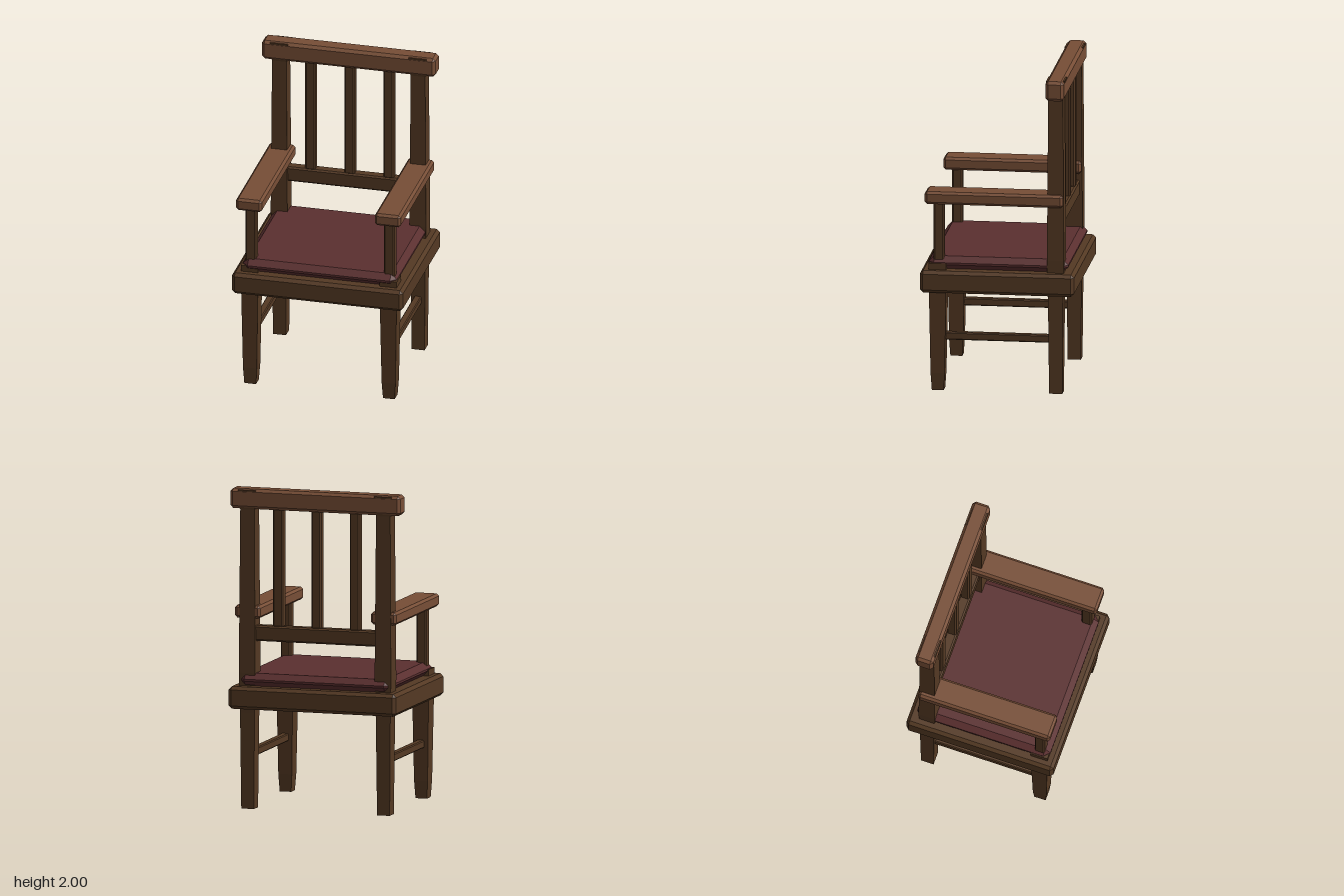
import * as THREE from 'three';
import { ConvexGeometry } from 'three/addons/geometries/ConvexGeometry.js';

export function createModel() {
  const model = new THREE.Group();
  model.name = 'armchair';

  const material = (name, color) => {
    const m = new THREE.MeshStandardMaterial({ color });
    m.name = name;
    return m;
  };
  const darkWood = material('dark wood', 0x543923);
  const lightWood = material('light wood', 0x774e36);
  const fabric = material('cushion fabric', 0x5a2f2f);

  const add = (name, geometry, mat) => {
    const mesh = new THREE.Mesh(geometry, mat);
    mesh.name = name;
    model.add(mesh);
    return mesh;
  };

  // Box with chamfered edges, given by its min and max on each axis
  const block = (name, mat, [x0, x1], [y0, y1], [z0, z1], bevel) => {
    const half = [(x1 - x0) / 2, (y1 - y0) / 2, (z1 - z0) / 2];
    const points = [];
    for (const sx of [-1, 1]) for (const sy of [-1, 1]) for (const sz of [-1, 1]) {
      for (let axis = 0; axis < 3; axis++) {
        const [hx, hy, hz] = half.map((h, i) => (i === axis ? h : h - bevel));
        points.push(new THREE.Vector3(sx * hx, sy * hy, sz * hz));
      }
    }
    add(name, new ConvexGeometry(points), mat)
      .position.set((x0 + x1) / 2, (y0 + y1) / 2, (z0 + z1) / 2);
  };

  // Square post whose half-width follows [halfWidth, height] pairs
  const post = (name, mat, x, z, sections) => {
    const profile = [[0, sections[0][1]], ...sections, [0, sections.at(-1)[1]]]
      .map(([h, y]) => new THREE.Vector2(h * Math.SQRT2, y));
    const geometry = new THREE.LatheGeometry(profile, 4).rotateY(Math.PI / 4).toNonIndexed();
    geometry.computeVertexNormals();
    add(name, geometry, mat).position.set(x, 0, z);
  };

  // Seat
  block('seatFrame', darkWood, [-0.545, 0.545], [0.63, 0.77], [-0.48, 0.48], 0.02);
  block('seatCushion', fabric, [-0.49, 0.49], [0.765, 0.85], [-0.435, 0.435], 0.036);

  // Backrest
  block('topRail', lightWood, [-0.553, 0.553], [1.875, 2], [-0.418, -0.302], 0.018);
  block('lowerBackRail', darkWood, [-0.41, 0.41], [1.05, 1.147], [-0.395, -0.325], 0.01);
  for (const x of [-0.25, 0, 0.25]) {
    block('backSlat', darkWood, [x - 0.033, x + 0.033], [1.14, 1.885], [-0.39, -0.33], 0.009);
  }

  // Legs, arms and stretchers on both sides
  for (const [side, s] of [['left', 1], ['right', -1]]) {
    const span = (a, b) => (s > 0 ? [a, b] : [-b, -a]);
    post(side + 'BackPost', darkWood, s * 0.442, -0.36,
      [[0.041, 0], [0.047, 0.6], [0.053, 0.85], [0.05, 1.3], [0.046, 1.87], [0.057, 1.92], [0.057, 1.993]]);
    post(side + 'FrontLeg', darkWood, s * 0.442, 0.375,
      [[0.037, 0], [0.044, 0.11], [0.053, 0.63], [0.055, 0.81]]);
    block(side + 'ArmPost', darkWood, span(0.408, 0.475), [0.8, 1.2], [0.337, 0.403], 0.009);
    block(side + 'Armrest', lightWood, span(0.36, 0.525), [1.19, 1.27], [-0.408, 0.452], 0.015);
    block(side + 'Stretcher', darkWood, span(0.418, 0.464), [0.318, 0.366], [-0.34, 0.35], 0.006);
  }
  return model;
}
